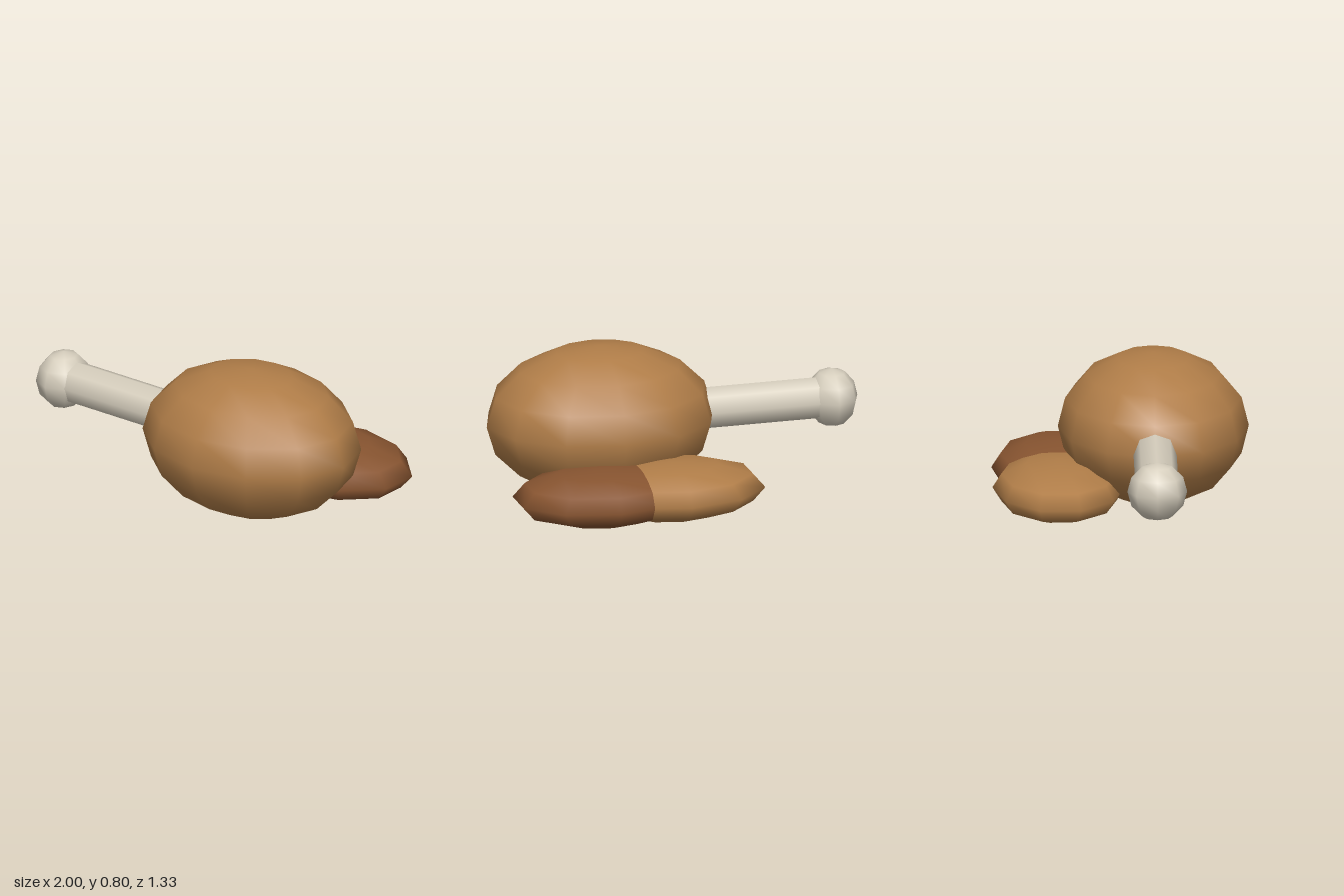
import * as THREE from 'three';

function material(name, color) {
  const m = new THREE.MeshStandardMaterial({ color });
  m.name = name;
  return m;
}

// Smooth low-poly ellipsoid with given radii and centre
function ellipsoid(name, mat, radii, centre, widthSegs, heightSegs, turn = 0) {
  const geo = new THREE.SphereGeometry(1, widthSegs, heightSegs);
  geo.rotateY(turn);
  geo.scale(...radii);
  const mesh = new THREE.Mesh(geo, mat);
  mesh.name = name;
  mesh.position.set(...centre);
  return mesh;
}

export function createModel() {
  const group = new THREE.Group();
  group.name = 'roastDrumstick';

  const roast = material('roastBrown', 0xb07d48);
  const darkRoast = material('darkBrown', 0x875430);
  const ivory = material('boneIvory', 0xd6cebd);

  // Main piece of meat
  group.add(ellipsoid('meat', roast, [0.61, 0.395, 0.495], [0.39, 0.405, 0.168], 12, 8));

  // Bone shaft running into the meat, with a rounded knob at its end
  const shaft = new THREE.Mesh(new THREE.CylinderGeometry(0.112, 0.112, 0.82, 8), ivory);
  shaft.name = 'boneShaft';
  shaft.rotation.z = Math.PI / 2;
  shaft.position.set(-0.37, 0.407, 0.168);
  group.add(shaft);
  group.add(ellipsoid('boneKnob', ivory, [0.138, 0.155, 0.155], [-0.862, 0.405, 0.168], 8, 6));

  // Two flat side pieces lying behind, overlapping in the middle
  for (const [name, mat, x] of [['sidePieceRight', roast, 0.132], ['sidePieceLeft', darkRoast, 0.512]]) {
    group.add(ellipsoid(name, mat, [0.485, 0.147, 0.345], [x, 0.149, -0.325], 10, 6, Math.PI / 2));
  }

  return group;
}
